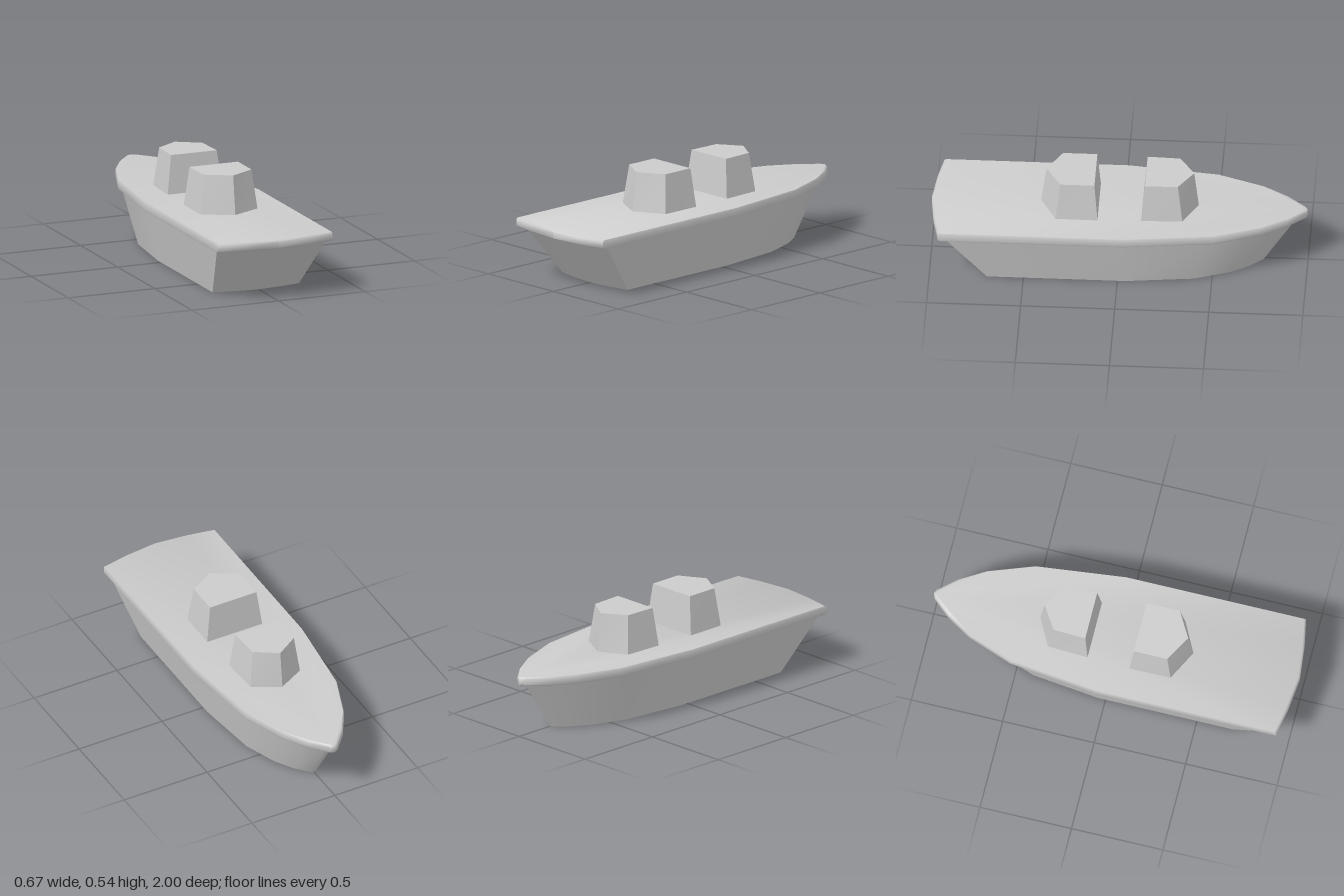
import * as THREE from 'three';
import { toCreasedNormals } from 'three/addons/utils/BufferGeometryUtils.js';

const material = new THREE.MeshStandardMaterial({ color: 0xcccccc });

// Mirror a half outline (+x side, from -z to +z) into a closed loop of [x, z]
function mirrorOutline(half) {
  const other = half.filter(([x]) => x > 0).reverse().map(([x, z]) => [-x, z]);
  return [...half, ...other];
}

// Solid through rings of equal point count; each ring is { y, points }
function loft(name, rings, crease) {
  const n = rings[0].points.length;
  const pos = [], index = [];
  for (const { y, points } of rings) {
    for (const [x, z] of points) pos.push(x, y, z);
  }
  for (let r = 0; r < rings.length - 1; r++) {
    for (let i = 0; i < n; i++) {
      const a = r * n + i, b = r * n + (i + 1) % n;
      index.push(a, a + n, b, b, a + n, b + n);
    }
  }
  // Flat bottom and top caps
  const top = (rings.length - 1) * n;
  for (let i = 1; i < n - 1; i++) {
    index.push(0, i, i + 1);
    index.push(top, top + i + 1, top + i);
  }
  const geometry = new THREE.BufferGeometry();
  geometry.setAttribute('position', new THREE.Float32BufferAttribute(pos, 3));
  geometry.setIndex(index);
  const mesh = new THREE.Mesh(toCreasedNormals(geometry, crease), material);
  mesh.name = name;
  return mesh;
}

// Plan of the boat: pointed bow at -z, gently bowed stern at +z
const plan = mirrorOutline([
  [0, -1], [0.022, -0.99], [0.106, -0.894], [0.187, -0.76], [0.277, -0.515],
  [0.333, -0.03], [0.333, 0.952], [0.187, 0.98], [0, 1],
]);

const planRing = (y, scale, dz = 0) => ({
  y, points: plan.map(([x, z]) => [x * scale, z * scale + dz]),
});

// Five-sided tapered cabin, its pointed end towards +z (dir 1) or -z (dir -1)
function cabin(name, dir, base, roof) {
  const ring = (y, [flatX, sideX, flatZ, sideZ, tipZ]) => {
    const half = [[0, flatZ], [flatX, flatZ], [sideX, sideZ], [0, tipZ]]
      .map(([x, z]) => [x, z * dir]);
    return { y, points: mirrorOutline(dir > 0 ? half : half.reverse()) };
  };
  return loft(name, [ring(0.325, base), ring(0.543, roof)], 0.6);
}

export function createModel() {
  const boat = new THREE.Group();
  boat.name = 'boat';

  // Hull tapering down to a flat bottom
  boat.add(loft('hull', [planRing(0, 0.75, -0.02), planRing(0.29, 0.957, 0.003)], 0.6));

  // Overhanging deck slab with slightly eased edges
  boat.add(loft('deck', [
    planRing(0.283, 0.99), planRing(0.291, 1), planRing(0.325, 1), planRing(0.333, 0.99),
  ], 0.9));

  // Two cabins set back to back
  boat.add(cabin('aftCabin', 1,
    [0.167, 0.165, 0.11, 0.335, 0.42], [0.14, 0.14, 0.128, 0.31, 0.39]));
  boat.add(cabin('foreCabin', -1,
    [0.16, 0.15, 0.12, 0.34, 0.42], [0.132, 0.125, 0.14, 0.315, 0.395]));

  return boat;
}
